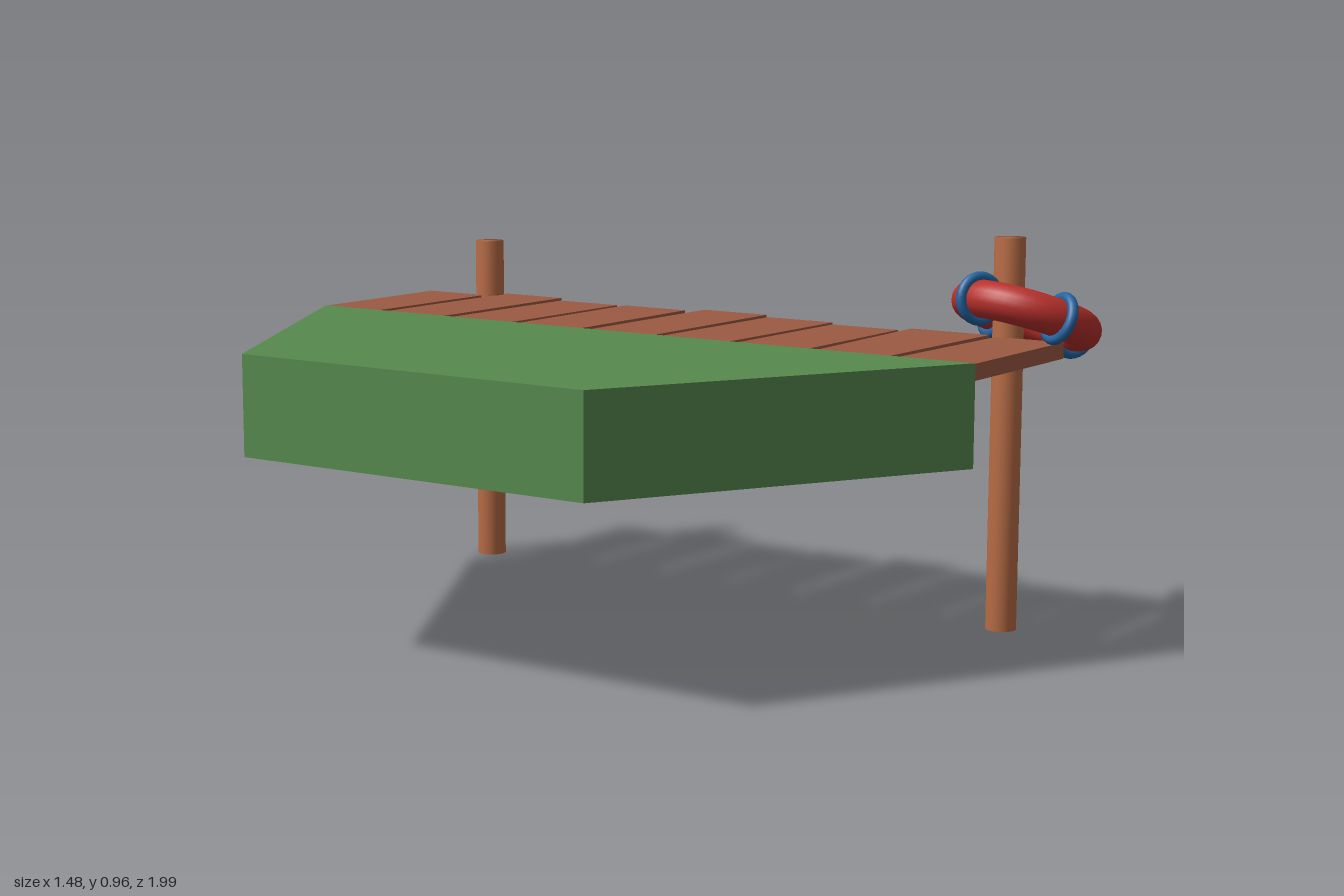
import * as THREE from 'three';
import { mergeVertices } from 'three/addons/utils/BufferGeometryUtils.js';

export function createModel() {
  const model = new THREE.Group();
  const material = (name, color) => new THREE.MeshStandardMaterial({ name, color });
  const grass = material('grass green', 0x568a4e);
  const plankWood = material('plank brown', 0x9c5a42);
  const postWood = material('post brown', 0xb86c45);
  const red = material('ring red', 0xb8302b);
  const blue = material('band blue', 0x23639e);

  const add = (parent, name, geometry, mat) => {
    const mesh = new THREE.Mesh(geometry, mat);
    mesh.name = name;
    parent.add(mesh);
    return mesh;
  };

  // Horizontal slab from an outline of [x, z] corners
  const slab = (corners, bottom, top) => {
    const shape = new THREE.Shape(corners.map(([x, z]) => new THREE.Vector2(x, -z)));
    const geometry = new THREE.ExtrudeGeometry(shape, { depth: top - bottom, bevelEnabled: false });
    return geometry.rotateX(-Math.PI / 2).translate(0, bottom, 0);
  };

  // Grassy bank
  const shore = 0.085;
  add(model, 'grassBank', slab(
    [[-0.745, -0.525], [shore, -1], [shore, 0.92], [-0.745, 0.44]], 0.485, 0.725), grass);

  // Uneven deck planks: z range at the bank, z range at the free end, end x
  const planks = [
    [-1.0, -0.82, -0.995, -0.81, 0.52],
    [-0.79, -0.605, -0.78, -0.595, 0.585],
    [-0.575, -0.385, -0.56, -0.375, 0.535],
    [-0.36, -0.17, -0.355, -0.165, 0.545],
    [-0.14, 0.05, -0.13, 0.06, 0.585],
    [0.075, 0.265, 0.09, 0.28, 0.545],
    [0.29, 0.485, 0.3, 0.487, 0.51],
    [0.51, 0.7, 0.5, 0.715, 0.553],
    [0.725, 0.92, 0.745, 0.922, 0.53],
  ];
  const deck = new THREE.Group();
  deck.name = 'deck';
  model.add(deck);
  planks.forEach(([a, b, c, d, end], i) => add(deck, `plank${i + 1}`,
    slab([[shore, a], [end, c], [end, d], [shore, b]], 0.685, 0.724), plankWood));

  // Posts, with shading that runs softly over the rims
  const post = (name, x, z, height) => {
    let geometry = new THREE.CylinderGeometry(0.038, 0.038, height, 20);
    geometry.deleteAttribute('normal');
    geometry.deleteAttribute('uv');
    geometry = mergeVertices(geometry);
    geometry.computeVertexNormals();
    add(model, name, geometry, postWood).position.set(x, height / 2, z);
  };
  post('frontPost', 0.557, 0.762, 0.963);
  post('backPost', 0.547, -0.81, 0.872);

  // Life ring hung at a slant on the front post
  const lifeRing = new THREE.Group();
  lifeRing.name = 'lifeRing';
  lifeRing.position.set(0.56, 0.777, 0.808);
  lifeRing.quaternion.setFromUnitVectors(
    new THREE.Vector3(0, 1, 0), new THREE.Vector3(0.342, 1, 0.131).normalize());
  model.add(lifeRing);
  const radius = 0.138;
  add(lifeRing, 'ring', new THREE.TorusGeometry(radius, 0.046, 20, 48).rotateX(Math.PI / 2), red);

  // Four bands around the ring
  for (let i = 0; i < 4; i++) {
    const angle = 0.54 + i * Math.PI / 2;
    const band = add(lifeRing, `band${i + 1}`, new THREE.TorusGeometry(0.052, 0.013, 12, 28), blue);
    band.position.set(radius * Math.cos(angle), 0, radius * Math.sin(angle));
    band.rotation.y = -angle;
  }
  return model;
}
